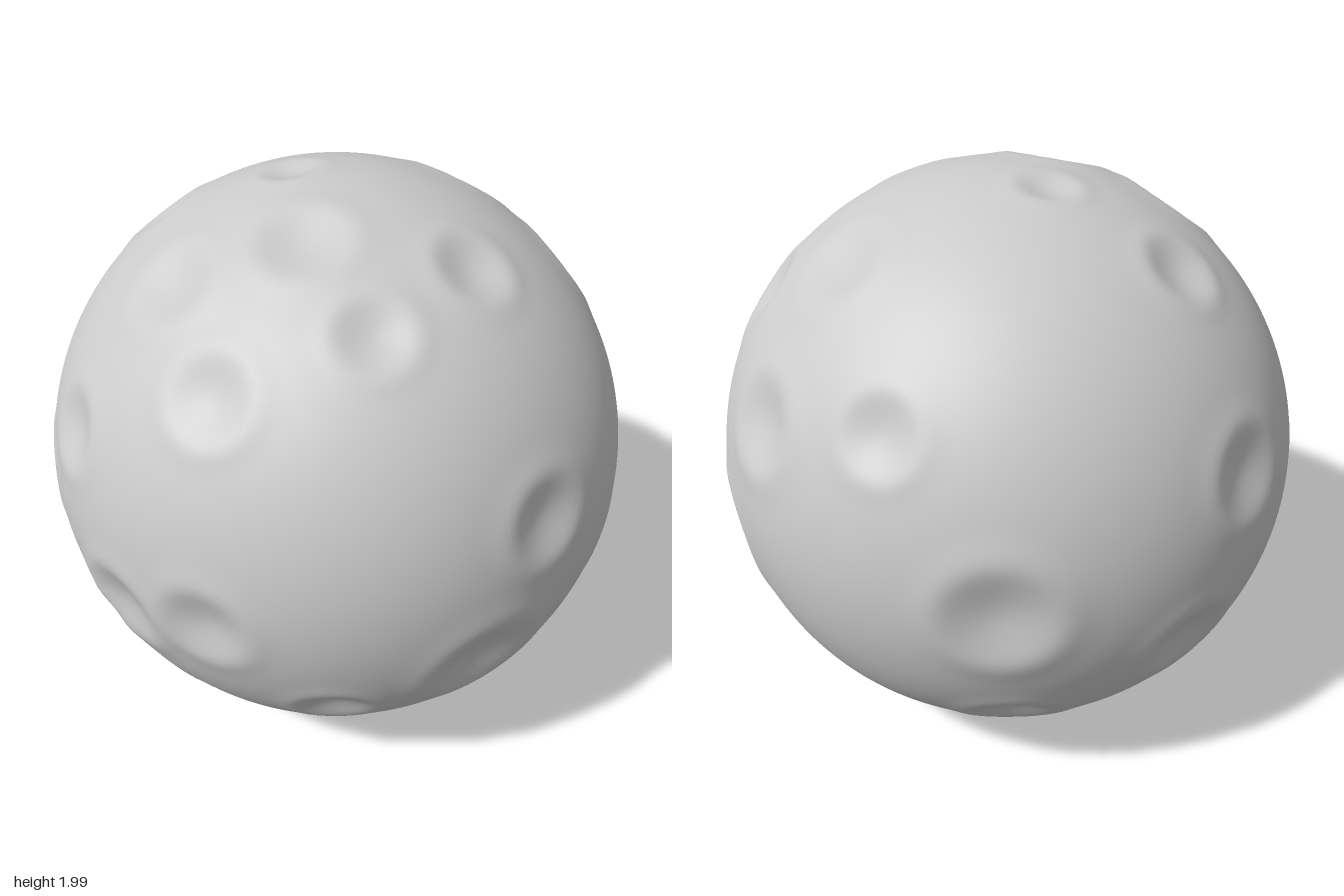
import * as THREE from 'three';
import { mergeVertices } from 'three/addons/utils/BufferGeometryUtils.js';

const RADIUS = 0.994;

// Main craters by the side they are set out on: [across, up, rim radius] from the centre
const FRONT = [
  [0.1, -0.44, 0.14], [0.57, -0.28, 0.21], [-0.29, -0.05, 0.16], [-0.6, -0.16, 0.17],
  [0.72, 0.23, 0.16], [-0.5, -0.58, 0.12], [-0.7, -0.36, 0.14], [-0.3, -0.83, 0.12],
  [0.35, -0.78, 0.15], [-0.77, 0.35, 0.15], [-0.95, 0.02, 0.14],
];
const LEFT = [
  [-0.1, -0.27, 0.18], [0.6, -0.17, 0.19], [0.25, -0.01, 0.15],
  [-0.3, -0.57, 0.14], [0.1, -0.57, 0.14], [0.75, 0.37, 0.17],
];
const TOP = [
  [0.38, 0.45, 0.17], [-0.45, -0.38, 0.16], [-0.06, -0.32, 0.16], [-0.28, -0.72, 0.15],
  [0.18, -0.58, 0.13], [0.44, -0.27, 0.14], [-0.6, 0.13, 0.14], [-0.16, 0.08, 0.11],
  [0.74, 0.3, 0.16], [0.09, 0.87, 0.14],
];
const BACK = [
  [0.3, -0.02, 0.2], [0.79, -0.31, 0.18], [0.28, -0.59, 0.16], [0.9, 0.25, 0.17],
];
const BOTTOM = [
  [0.22, 0.3, 0.14], [-0.21, -0.41, 0.16], [0.3, -0.55, 0.12], [-0.58, -0.3, 0.14],
];

// Turns one side's craters into directions; pitch and yaw point the side outwards
function placeCraters(craters, pitch, yaw) {
  const turn = new THREE.Euler(pitch, yaw, 0, 'YXZ');
  return craters.map(([across, up, radius]) => {
    const out = Math.sqrt(1 - across ** 2 - up ** 2);
    return { centre: new THREE.Vector3(across, up, out).applyEuler(turn), radius };
  });
}

// Height of the ground near one crater: a smooth bowl with a soft raised rim
function craterHeight(distance, radius) {
  const t = distance / radius;
  const bowl = t < 1 ? -0.2 * radius * (1 - t * t) ** 2 : 0;
  return bowl + 0.035 * radius * Math.exp(-(((t - 1.05) / 0.28) ** 2));
}

export function createModel() {
  const group = new THREE.Group();
  group.name = 'crateredBall';

  const craters = [
    ...placeCraters(FRONT, 0, 0),
    ...placeCraters(LEFT, 0, Math.PI / 2),
    ...placeCraters(TOP, -Math.PI / 2, 0),
    ...placeCraters(BACK, 0, Math.PI),
    ...placeCraters(BOTTOM, Math.PI / 2, 0),
  ];

  // Evenly divided ball with shared vertices, so that it shades smoothly
  const facets = new THREE.IcosahedronGeometry(1, 44);
  facets.deleteAttribute('normal');
  facets.deleteAttribute('uv');
  const ball = mergeVertices(facets, 1e-5);

  // Press the craters into the ground
  const position = ball.attributes.position;
  const p = new THREE.Vector3();
  for (let i = 0; i < position.count; i++) {
    p.fromBufferAttribute(position, i);
    let height = RADIUS;
    for (const { centre, radius } of craters) height += craterHeight(p.distanceTo(centre), radius);
    p.multiplyScalar(height);
    position.setXYZ(i, p.x, p.y, p.z);
  }
  ball.computeVertexNormals();

  const surface = new THREE.Mesh(ball, new THREE.MeshStandardMaterial({ color: 0xcccccc }));
  surface.name = 'crateredSurface';
  surface.position.y = RADIUS;
  group.add(surface);
  return group;
}
